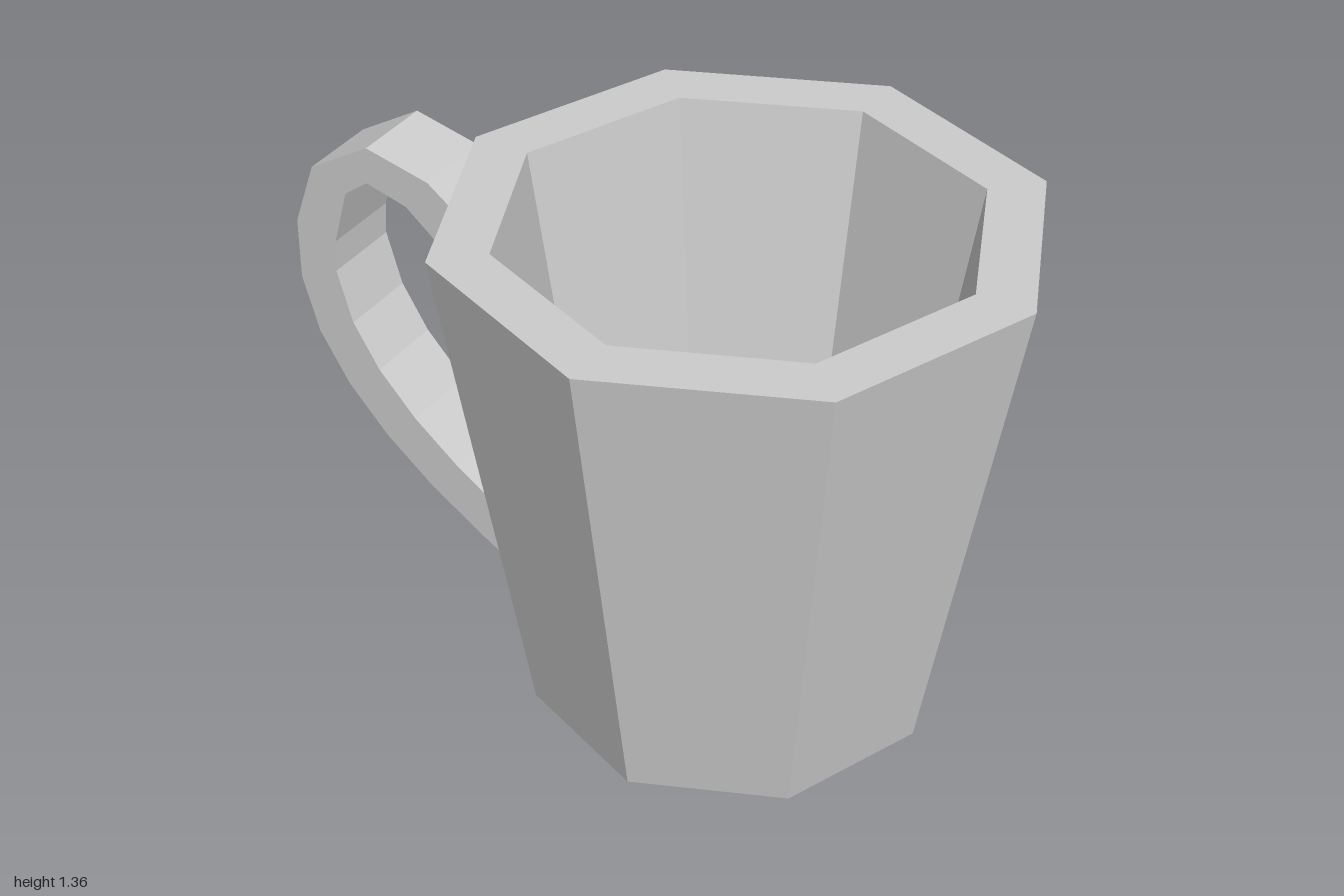
import * as THREE from 'three';

const material = new THREE.MeshStandardMaterial({ color: 0xcccccc, flatShading: true });
const toPoints = (pairs) => pairs.map(([x, y]) => new THREE.Vector2(x, y));

// Eight-sided tapered cup with thick wall, flat rim and raised inner floor
function makeCup() {
  const profile = toPoints([[0, 0], [0.527, 0], [0.753, 1.36], [0.603, 1.36], [0.423, 0.27], [0, 0.27]]);
  const cup = new THREE.Mesh(new THREE.LatheGeometry(profile, 8), material);
  cup.name = 'cup';
  cup.position.x = 0.247;
  return cup;
}

// Faceted ear-shaped loop, its straight side sunk into the cup wall
function makeHandle() {
  const outline = new THREE.Shape(toPoints([
    [-0.36, 1.1], [-0.43, 1.15], [-0.58, 1.262], [-0.762, 1.305], [-0.938, 1.198], [-1, 1.02],
    [-1, 0.85], [-0.954, 0.695], [-0.869, 0.556], [-0.757, 0.433], [-0.623, 0.321],
    [-0.463, 0.214], [-0.254, 0.086], [-0.22, 0.066], [-0.2, 0.26], [-0.3, 0.85],
  ]));
  outline.holes.push(new THREE.Path(toPoints([
    [-0.277, 0.251], [-0.404, 0.326], [-0.537, 0.417], [-0.66, 0.519], [-0.767, 0.636],
    [-0.842, 0.759], [-0.885, 0.904], [-0.88, 0.995], [-0.837, 1.15], [-0.767, 1.203],
    [-0.65, 1.171], [-0.548, 1.086], [-0.452, 0.979], [-0.393, 0.85], [-0.37, 0.85],
    [-0.355, 0.75], [-0.366, 0.743],
  ])));
  const width = 0.22;
  const geometry = new THREE.ExtrudeGeometry(outline, { depth: width, bevelEnabled: false });
  geometry.translate(0, 0, -width / 2);
  const handle = new THREE.Mesh(geometry, material);
  handle.name = 'handle';
  return handle;
}

export function createModel() {
  const mug = new THREE.Group();
  mug.name = 'mug';
  mug.add(makeCup(), makeHandle());
  return mug;
}
